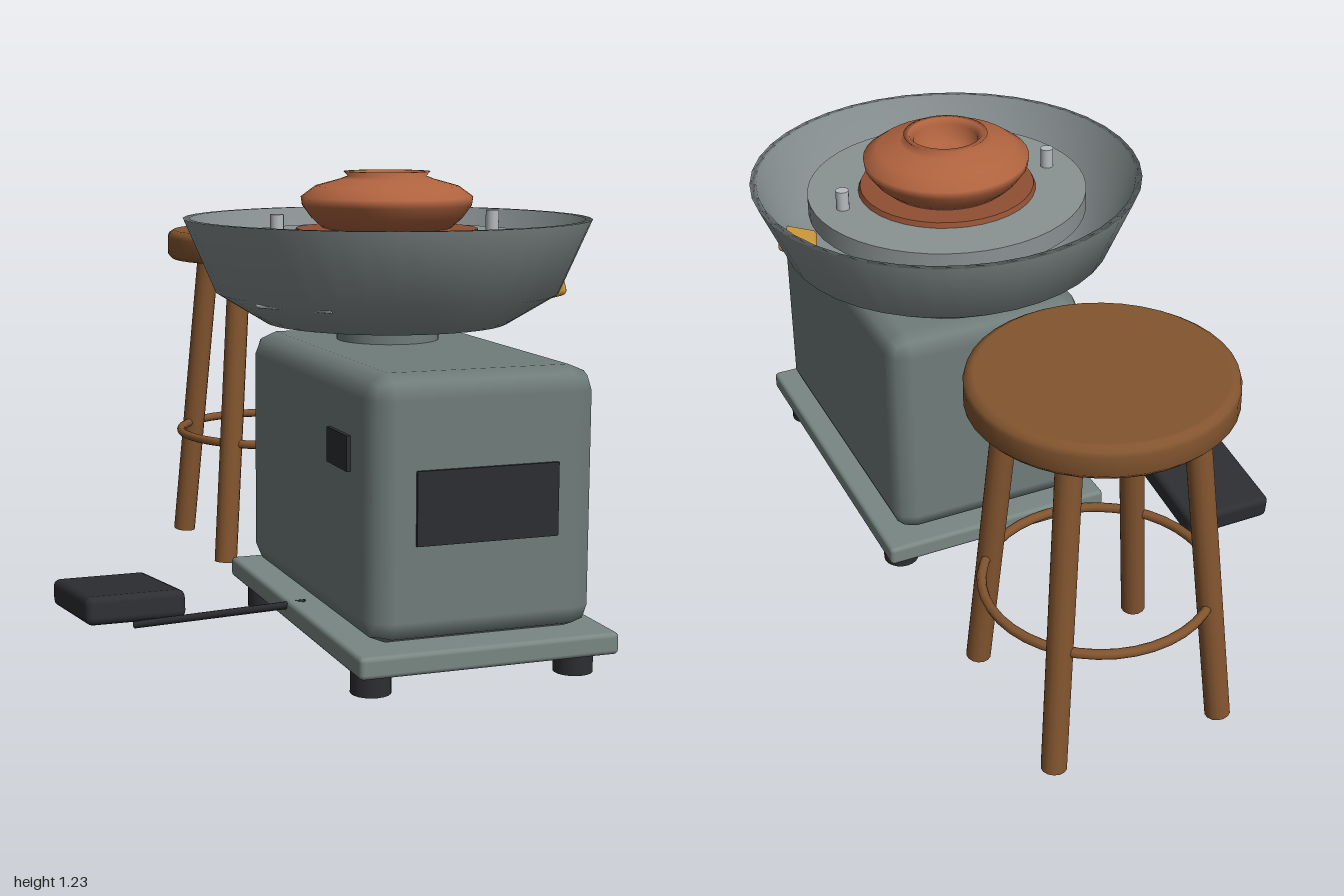
import * as THREE from 'three';
import { RoundedBoxGeometry } from 'three/addons/geometries/RoundedBoxGeometry.js';

const mat = (color) => new THREE.MeshStandardMaterial({ color });
const M = {
  body: mat(0x707d7b), plate: mat(0x798783), pan: mat(0x858d8e), wheel: mat(0x8b9293),
  dark: mat(0x2d2e32), clay: mat(0xb0633f), slip: mat(0x8f4f33), wood: mat(0x83552f),
  sponge: mat(0xc9973a), metal: mat(0xb8bcbe),
};

const CX = 0.136; // shared x of wheel and stool
const WZ = 0.29; // wheel axis z

function add(parent, name, geometry, material, x = 0, y = 0, z = 0) {
  const mesh = new THREE.Mesh(geometry, material);
  mesh.name = name;
  mesh.position.set(x, y, z);
  parent.add(mesh);
  return mesh;
}

const lathe = (points, segments) =>
  new THREE.LatheGeometry(points.map(([r, y]) => new THREE.Vector2(r, y)), segments);

// Round bar between two points
function rod(parent, name, a, b, rA, rB, material, sides = 12) {
  const from = new THREE.Vector3(...a), to = new THREE.Vector3(...b);
  const dir = to.clone().sub(from);
  const mesh = add(parent, name, new THREE.CylinderGeometry(rB, rA, dir.length(), sides), material);
  mesh.position.copy(from).add(to).multiplyScalar(0.5);
  mesh.quaternion.setFromUnitVectors(new THREE.Vector3(0, 1, 0), dir.normalize());
  return mesh;
}

function createBase() {
  const g = new THREE.Group();
  g.name = 'base';
  add(g, 'body', new RoundedBoxGeometry(0.588, 0.65, 0.955, 1, 0.06), M.body, CX, 0.47, 0.478);
  add(g, 'basePlate', new RoundedBoxGeometry(0.674, 0.055, 1.04, 2, 0.012), M.plate, CX, 0.117, 0.48);
  add(g, 'frontPanel', new THREE.BoxGeometry(0.365, 0.18, 0.02), M.dark, CX, 0.48, 0.954);
  add(g, 'switchBox', new THREE.BoxGeometry(0.02, 0.087, 0.14), M.dark, -0.158, 0.592, 0.742);
  for (const x of [-0.133, 0.403])
    for (const z of [0.07, 0.89])
      add(g, 'foot', new THREE.CylinderGeometry(0.05, 0.05, 0.07, 20), M.dark, x, 0.06, z);
  add(g, 'neck', new THREE.CylinderGeometry(0.136, 0.136, 0.07, 32), M.body, CX, 0.82, WZ + 0.01);
  return g;
}

function createWheel() {
  const g = new THREE.Group();
  g.name = 'wheel';
  g.position.set(CX, 0, WZ);

  // Splash pan: outside wall, rim, then inside wall
  add(g, 'splashPan', lathe([
    [0, 0.842], [0.324, 0.842], [0.456, 0.923], [0.54, 1.116],
    [0.522, 1.116], [0.442, 0.935], [0.312, 0.862], [0, 0.862],
  ], 40), M.pan);
  add(g, 'shaft', new THREE.CylinderGeometry(0.07, 0.07, 0.18, 24), M.metal, 0, 0.94, 0);
  add(g, 'wheelHead', new THREE.CylinderGeometry(0.386, 0.386, 0.055, 48), M.wheel, 0, 1.048, 0);
  for (const s of [-1, 1]) {
    add(g, 'batPin', new THREE.CylinderGeometry(0.018, 0.018, 0.056, 14), M.metal, s * 0.306, 1.102, 0);
  }

  // Clay bowl on its ring of slip
  add(g, 'slipRing', new THREE.CylinderGeometry(0.24, 0.246, 0.014, 36), M.slip, 0, 1.082, 0);
  add(g, 'clayPot', lathe([
    [0, 1.08], [0.16, 1.08], [0.2, 1.116], [0.225, 1.15], [0.228, 1.172], [0.19, 1.2],
    [0.125, 1.218], [0.104, 1.226], [0.115, 1.238], [0.1, 1.238], [0.088, 1.222],
    [0.09, 1.2], [0.07, 1.175], [0, 1.168],
  ], 36), M.clay);

  // Loose tools
  add(g, 'claySmear', new THREE.BoxGeometry(0.11, 0.014, 0.028), M.slip, 0, 1.08, 0.308);
  const sponge = add(g, 'sponge', new RoundedBoxGeometry(0.105, 0.048, 0.085, 2, 0.014), M.sponge, 0.397, 0.926, 0.142);
  sponge.rotation.set(0, -0.34, 0.25, 'YXZ');
  rod(g, 'needleTool', [-0.411, 0.912, 0.16], [-0.276, 0.912, 0.337], 0.006, 0.006, M.metal, 8);
  return g;
}

function createPedal() {
  const g = new THREE.Group();
  g.name = 'footPedal';
  const pad = add(g, 'pedal', new RoundedBoxGeometry(0.272, 0.076, 0.452, 2, 0.02), M.dark, -0.546, 0.07, 0.023);
  pad.rotation.x = -0.13;
  rod(g, 'pedalCable', [-0.55, 0.05, 0.23], [-0.157, 0.14, 0.48], 0.01, 0.01, M.dark, 10);
  return g;
}

function createStool() {
  const g = new THREE.Group();
  g.name = 'stool';
  g.position.set(CX, 0, -0.664);
  add(g, 'seat', lathe([
    [0, 0.935], [0.322, 0.935], [0.336, 0.95], [0.336, 1.0], [0.332, 1.014],
    [0.318, 1.023], [0.31, 1.0232], [0, 1.0235],
  ], 40), M.wood);
  for (const sx of [-1, 1])
    for (const sz of [-1, 1])
      rod(g, 'leg', [sx * 0.238, 0.03, sz * 0.238], [sx * 0.168, 0.945, sz * 0.168], 0.034, 0.034, M.wood, 14);
  const ring = add(g, 'footRing', new THREE.TorusGeometry(0.3, 0.013, 8, 40), M.wood, 0, 0.39, 0);
  ring.rotation.x = Math.PI / 2;
  return g;
}

export function createModel() {
  const model = new THREE.Group();
  model.name = 'potteryWheelWithStool';
  model.add(createBase(), createWheel(), createPedal(), createStool());
  return model;
}
